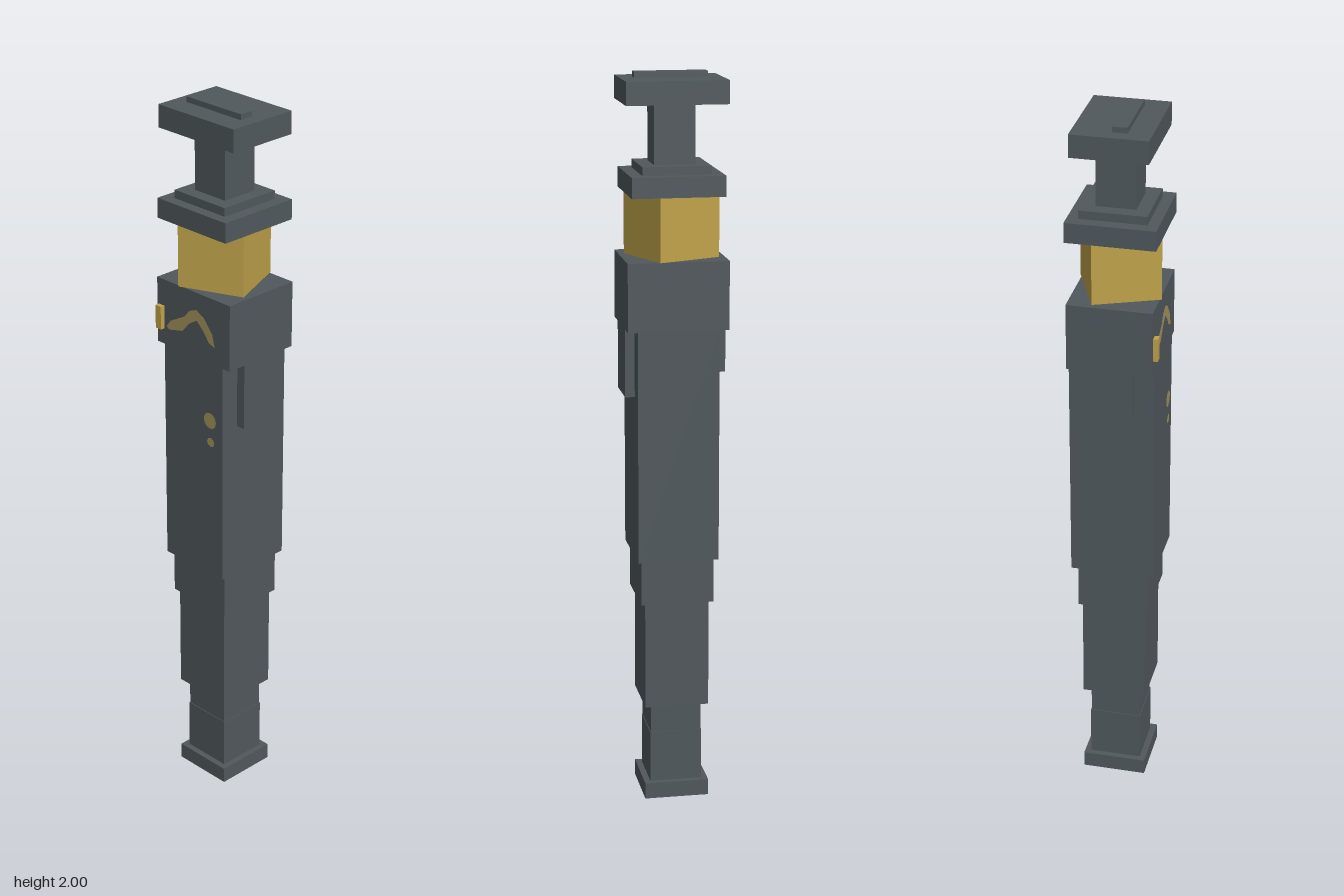
import * as THREE from 'three';

const slate = new THREE.MeshStandardMaterial({ name: 'slate', color: 0x50585c });
const gold = new THREE.MeshStandardMaterial({ name: 'gold', color: 0xc0a34a });
const paleGold = new THREE.MeshStandardMaterial({ name: 'pale gold', color: 0xa3935c });

const ZC = -0.003; // depth centre shared by the stacked blocks
const FRONT = ZC + 0.115; // front face of the body

export function createModel() {
  const model = new THREE.Group();
  model.name = 'steppedHandle';

  const add = (name, geometry, material, x = 0, y = 0, z = 0) => {
    const mesh = new THREE.Mesh(geometry, material);
    mesh.name = name;
    mesh.position.set(x, y, z);
    model.add(mesh);
    return mesh;
  };
  // Box given by its bottom, top, width and depth
  const block = (name, y0, y1, w, d, material = slate, x = 0, z = ZC) =>
    add(name, new THREE.BoxGeometry(w, y1 - y0, d), material, x, (y0 + y1) / 2, z);

  // Stack from the foot to the cap
  block('foot', 0, 0.045, 0.178, 0.178);
  block('lowerShaft', 0.045, 0.19, 0.144, 0.144);
  block('upperShaft', 0.19, 0.27, 0.14, 0.14);
  block('lowerSleeve', 0.27, 0.57, 0.176, 0.178);
  block('middleSleeve', 0.57, 0.695, 0.2, 0.196);
  block('body', 0.695, 1.33, 0.22, 0.23);
  block('shoulder', 1.33, 1.515, 0.272, 0.23);
  block('goldCore', 1.515, 1.685, 0.184, 0.184, gold).rotation.y = Math.PI / 8;
  block('collar', 1.685, 1.74, 0.25, 0.24);
  block('collarStep', 1.74, 1.763, 0.184, 0.18);
  block('neck', 1.763, 1.923, 0.11, 0.106);
  block('cap', 1.923, 1.985, 0.272, 0.205);
  block('capRidge', 1.985, 2, 0.196, 0.04, slate, 0, 0.017);

  // Side panels below the shoulder, the left one longer
  block('leftPanel', 1.145, 1.33, 0.027, 0.123, slate, 0.1225);
  block('rightPanel', 1.205, 1.33, 0.027, 0.123, slate, -0.1225);

  // Button on the shoulder's front corner
  block('button', 1.375, 1.44, 0.02, 0.013, gold, -0.12, FRONT + 0.0065);

  // Painted curl and spots on the front
  const outline = [
    [-0.1, 1.385], [-0.085, 1.405], [-0.03, 1.435], [-0.013, 1.456], [0.013, 1.467],
    [0.043, 1.452], [0.073, 1.415], [0.082, 1.38], [0.06, 1.388], [0.04, 1.414],
    [0.015, 1.437], [-0.013, 1.42], [-0.04, 1.39], [-0.09, 1.378],
  ].map(([x, y]) => new THREE.Vector2(x, y));
  add('paintedCurl', new THREE.ShapeGeometry(new THREE.Shape(outline)), paleGold, 0, 0, FRONT + 0.0015);
  add('largeSpot', new THREE.CircleGeometry(0.023, 12), paleGold, 0.063, 1.163, FRONT + 0.0015);
  add('smallSpot', new THREE.CircleGeometry(0.014, 8), paleGold, 0.066, 1.1, FRONT + 0.0015);

  return model;
}
